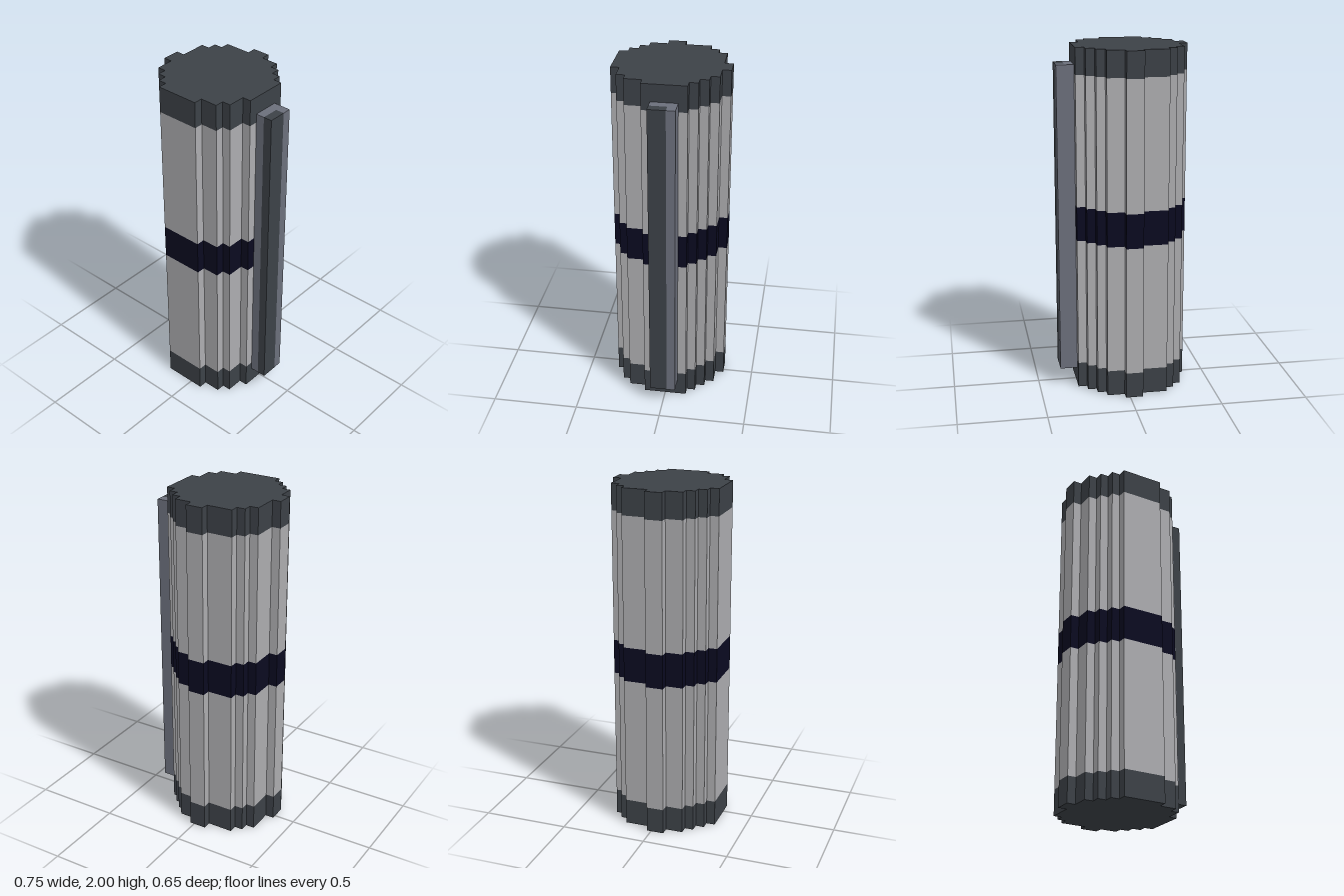
import * as THREE from 'three';

const paint = (name, color) => {
  const m = new THREE.MeshStandardMaterial({ color });
  m.name = name;
  return m;
};

// Stepped cross-section: [back z, left edge x, right edge x] for each row
const ROWS = [
  [-0.325, -0.075, 0.025],
  [-0.275, -0.225, 0.125],
  [-0.225, -0.275, 0.175],
  [-0.175, -0.325, 0.225],
  [-0.125, -0.325, 0.275],
  [-0.025, -0.375, 0.275],
  [0.075, -0.325, 0.275],
  [0.125, -0.325, 0.225],
  [0.175, -0.275, 0.225],
  [0.225, -0.225, 0.175],
  [0.275, -0.175, 0.075],
];
const FRONT_Z = 0.325;

// Walk down the right edges and back up the left ones
function steppedOutline() {
  const right = [], left = [];
  ROWS.forEach(([z, x0, x1], i) => {
    const zEnd = i + 1 < ROWS.length ? ROWS[i + 1][0] : FRONT_Z;
    right.push([x1, z], [x1, zEnd]);
    left.push([x0, z], [x0, zEnd]);
  });
  const loop = [...right, ...left.reverse()];
  // Drop points in the middle of straight runs
  return loop.filter((p, i) => {
    const a = loop[(i + loop.length - 1) % loop.length];
    const b = loop[(i + 1) % loop.length];
    const same = p[0] === a[0] && p[1] === a[1];
    const straight = (a[0] === p[0] && p[0] === b[0]) || (a[1] === p[1] && p[1] === b[1]);
    return !same && !straight;
  });
}

// Upright prism from an (x, z) outline between two heights
function prism(name, outline, y0, y1, material) {
  const shape = new THREE.Shape(outline.map(([x, z]) => new THREE.Vector2(x, -z)));
  const geo = new THREE.ExtrudeGeometry(shape, { depth: y1 - y0, bevelEnabled: false });
  geo.rotateX(-Math.PI / 2);
  geo.translate(0, y0, 0);
  const mesh = new THREE.Mesh(geo, material);
  mesh.name = name;
  return mesh;
}

export function createModel() {
  const model = new THREE.Group();
  model.name = 'canister';

  const charcoal = paint('charcoal', 0x3c4147);
  const silver = paint('silver', 0xacacaf);
  const navy = paint('navy', 0x0a0a20);
  const slate = paint('slate', 0x6b6f7b);

  // Stacked sections of the body
  const outline = steppedOutline();
  [
    ['bottomCap', 0, 0.15, charcoal],
    ['lowerBody', 0.15, 0.9, silver],
    ['middleBand', 0.9, 1.1, navy],
    ['upperBody', 1.1, 1.85, silver],
    ['topCap', 1.85, 2, charcoal],
  ].forEach(([name, y0, y1, mat]) => model.add(prism(name, outline, y0, y1, mat)));

  // Side rail: L-shaped bar with a dark strip filling its outer front corner
  const rail = new THREE.Group();
  rail.name = 'sideRail';
  const bar = [
    [0.275, 0.075], [0.325, 0.075], [0.325, -0.025],
    [0.375, -0.025], [0.375, -0.075], [0.275, -0.075],
  ];
  const strip = [[0.325, 0.075], [0.375, 0.075], [0.375, -0.025], [0.325, -0.025]];
  rail.add(prism('railBar', bar, 0.1, 1.9, slate));
  rail.add(prism('railStrip', strip, 0.1, 1.9, charcoal));
  model.add(rail);

  return model;
}
